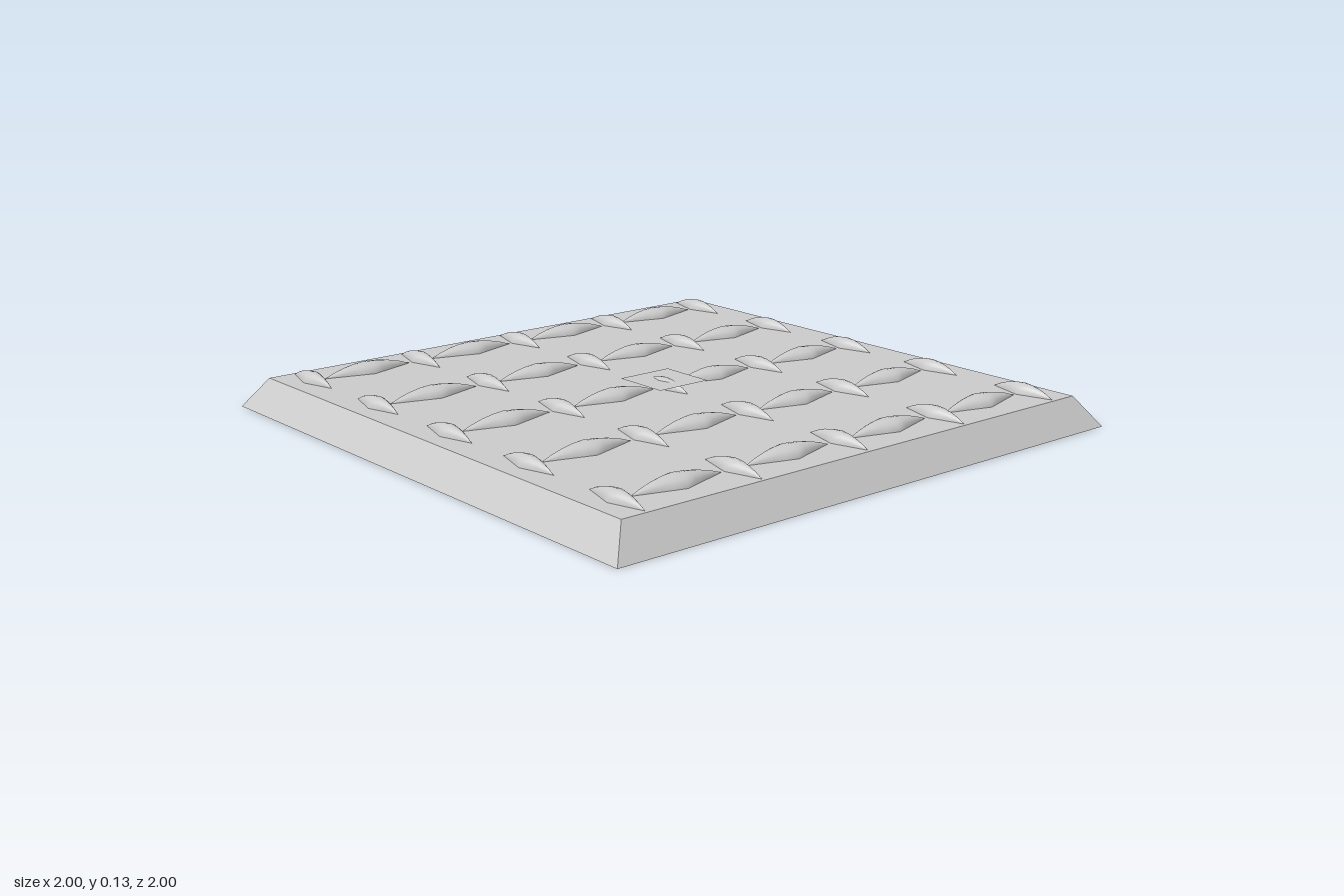
import * as THREE from 'three';

const grey = new THREE.MeshStandardMaterial({ color: 0xcccccc, side: THREE.DoubleSide });
const flatGrey = new THREE.MeshStandardMaterial({ color: 0xcccccc, flatShading: true });

const TOP = 0.1; // height of the plate surface

// Raised tread: pointed in plan, arched along its length, rounded across
function treadGeometry(halfLength, halfWidth, height) {
  const geo = new THREE.PlaneGeometry(1, 1, 8, 8);
  const pos = geo.attributes.position;
  for (let i = 0; i < pos.count; i++) {
    const t = pos.getX(i) * 2;
    const angle = pos.getY(i) * Math.PI;
    pos.setXYZ(
      i,
      t * halfLength,
      height * (1 - t * t) * Math.cos(angle),
      -halfWidth * (1 - Math.abs(t)) * Math.sin(angle)
    );
  }
  geo.computeVertexNormals();
  return geo;
}

// Square slab with sloping sides
function slabGeometry(bottom, top, height) {
  const geo = new THREE.BoxGeometry(bottom, height, bottom);
  geo.translate(0, height / 2, 0);
  const pos = geo.attributes.position;
  for (let i = 0; i < pos.count; i++) {
    if (pos.getY(i) > height / 2) {
      pos.setX(i, pos.getX(i) * top / bottom);
      pos.setZ(i, pos.getZ(i) * top / bottom);
    }
  }
  geo.computeVertexNormals();
  return geo;
}

export function createModel() {
  const model = new THREE.Group();
  model.name = 'treadPlate';

  const slab = new THREE.Mesh(slabGeometry(2, 1.86, TOP), flatGrey);
  slab.name = 'slab';
  model.add(slab);

  // Alternating treads: crosswise rows with lengthwise ones between them
  const crossTread = treadGeometry(0.12, 0.034, 0.033);
  const longTread = treadGeometry(0.165, 0.05, 0.033);
  longTread.rotateY(Math.PI / 2);
  const treads = new THREE.Group();
  treads.name = 'treads';
  for (let column = -2; column <= 2; column++) {
    for (let row = -4; row <= 4; row++) {
      const crosswise = row % 2 === 0;
      const tread = new THREE.Mesh(crosswise ? crossTread : longTread, grey);
      tread.name = crosswise ? 'crossTread' : 'longTread';
      tread.position.set(column * 0.4, TOP, row * 0.21);
      treads.add(tread);
    }
  }
  model.add(treads);

  // Thin square sheet that the middle tread pokes through
  const sheet = new THREE.Mesh(new THREE.PlaneGeometry(0.2, 0.2), grey);
  sheet.name = 'centreSheet';
  sheet.rotation.x = -Math.PI / 2;
  sheet.position.y = TOP + 0.025;
  model.add(sheet);

  return model;
}
